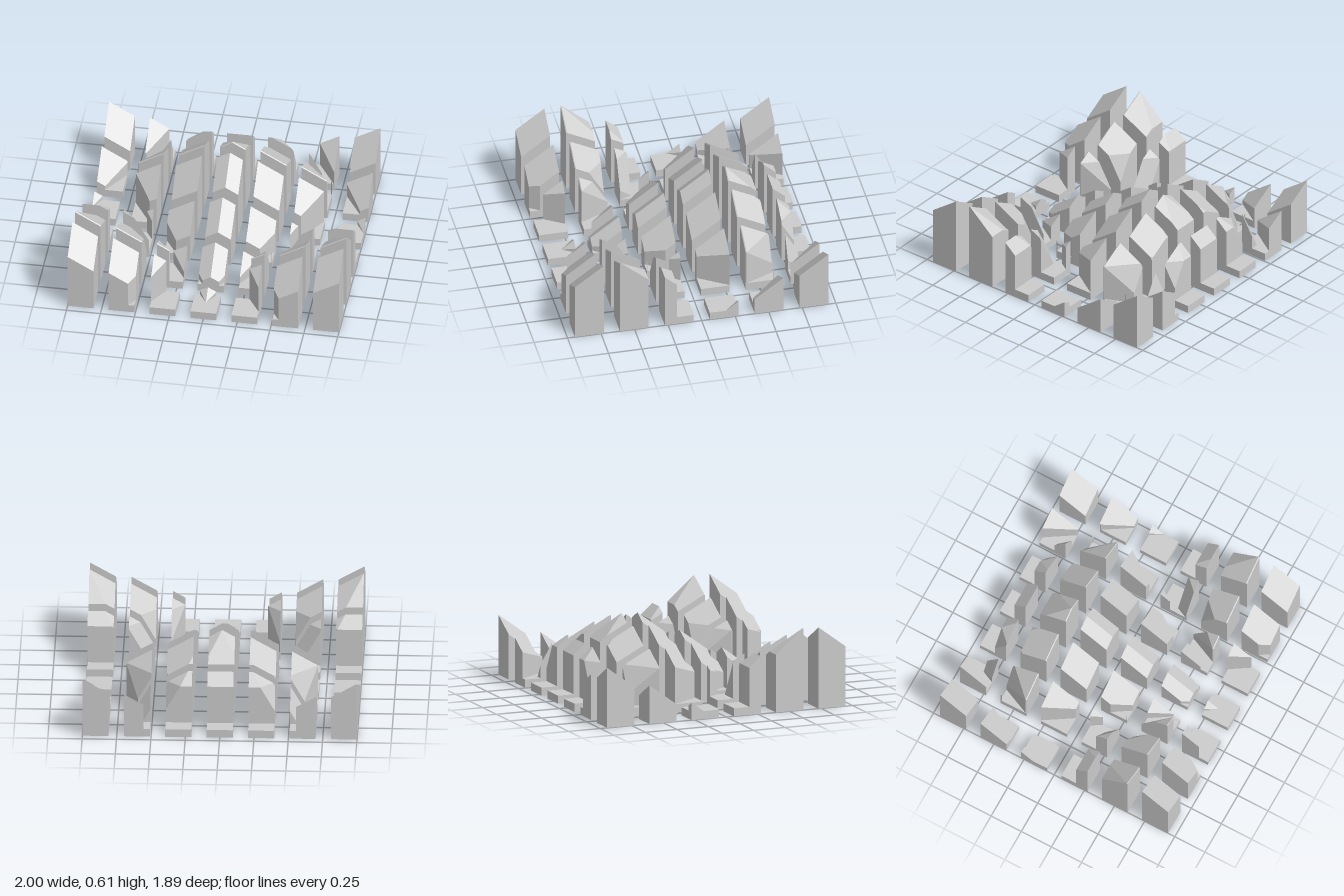
import * as THREE from 'three';

// Grid of blocks: a continuous relief of pointed peaks, cut into cells and pulled apart
const COLS = 7, ROWS = 6;
const W = 0.19, D = 0.215;              // cell size
const PITCH_X = 0.3017, PITCH_Z = 0.335; // spacing after pulling apart
const FLOOR = 0.06;

// One peak in its own frame, right half as [x, y, z]
const APEX = [0, 0.61, 0], TIP = [0, FLOOR, 0.747], CREST = [0.475, 0.336, 0];
const BACK = [0.18, 0.35, -0.3], CORNER = [0.342, FLOOR, -0.3];
const HALF = [
  [APEX, TIP, CREST],                  // long front slope
  [APEX, CREST, BACK],                 // rear shoulder
  [CREST, CORNER, BACK],               // steep rear corner
  [APEX, BACK, [0, 0.35, -0.3]],       // rear centre
];
const PEAKS = [[0, -0.222], [-0.665, 0.423], [0.665, 0.423], [-0.665, -0.867], [0.665, -0.867]];

// Turn a triangle so that it faces up
function faceUp([a, b, c]) {
  const up = (b[2] - a[2]) * (c[0] - a[0]) - (b[0] - a[0]) * (c[2] - a[2]);
  return up > 0 ? [a, b, c] : [a, c, b];
}

const facets = [];
for (const [px, pz] of PEAKS) {
  for (const s of [1, -1]) {
    for (const tri of HALF) facets.push(faceUp(tri.map(([x, y, z]) => [s * x + px, y, z + pz])));
  }
}

// Keep the part of a polygon where sign * (p[axis] - limit) <= 0
function clip(poly, axis, limit, sign) {
  const out = [];
  poly.forEach((p, i) => {
    const q = poly[(i + 1) % poly.length];
    const dp = sign * (p[axis] - limit), dq = sign * (q[axis] - limit);
    if (dp <= 0) out.push(p);
    if ((dp < 0 && dq > 0) || (dp > 0 && dq < 0)) {
      const t = dp / (dp - dq);
      out.push(p.map((v, k) => v + (q[k] - v) * t));
    }
  });
  return out;
}

// Sloping top of one cell with walls down to the floor slab
function roofGeometry(cx, cz) {
  const pos = [], edges = new Map();
  const key = p => p.map(v => Math.round(v * 1e4)).join();
  const add = (...pts) => pts.forEach(p => pos.push(p[0] - cx, p[1], p[2] - cz));
  for (const facet of facets) {
    let poly = clip(facet, 0, cx + W / 2, 1);
    poly = clip(poly, 0, cx - W / 2, -1);
    poly = clip(poly, 2, cz + D / 2, 1);
    poly = clip(poly, 2, cz - D / 2, -1);
    poly = poly.filter((p, i) => key(p) !== key(poly[(i + 1) % poly.length]));
    if (poly.length < 3) continue;
    for (let i = 1; i < poly.length - 1; i++) add(poly[0], poly[i], poly[i + 1]);
    poly.forEach((p, i) => {
      const q = poly[(i + 1) % poly.length];
      const back = key(q) + '|' + key(p);
      if (edges.has(back)) edges.delete(back); // shared by two facets: no wall
      else edges.set(key(p) + '|' + key(q), [p, q]);
    });
  }
  for (const [p, q] of edges.values()) {
    const p0 = [p[0], FLOOR, p[2]], q0 = [q[0], FLOOR, q[2]];
    add(q, p, p0);
    add(q, p0, q0);
  }
  if (!pos.length) return null;
  const g = new THREE.BufferGeometry();
  g.setAttribute('position', new THREE.Float32BufferAttribute(pos, 3));
  g.computeVertexNormals();
  return g;
}

export function createModel() {
  const model = new THREE.Group();
  model.name = 'peakBlocks';
  const material = new THREE.MeshStandardMaterial({ color: 0xcccccc, flatShading: true });
  const slabGeometry = new THREE.BoxGeometry(W, FLOOR, D).translate(0, FLOOR / 2, 0);

  for (let r = 0; r < ROWS; r++) {
    for (let c = 0; c < COLS; c++) {
      const i = c - (COLS - 1) / 2, j = r - (ROWS - 1) / 2;
      const block = new THREE.Group();
      block.name = `block_${r + 1}_${c + 1}`;
      block.position.set(i * PITCH_X, 0, j * PITCH_Z);

      const slab = new THREE.Mesh(slabGeometry, material);
      slab.name = 'floorSlab';
      block.add(slab);

      const geometry = roofGeometry(i * W, j * D);
      if (geometry) {
        const peak = new THREE.Mesh(geometry, material);
        peak.name = 'peakPiece';
        block.add(peak);
      }
      model.add(block);
    }
  }
  return model;
}
